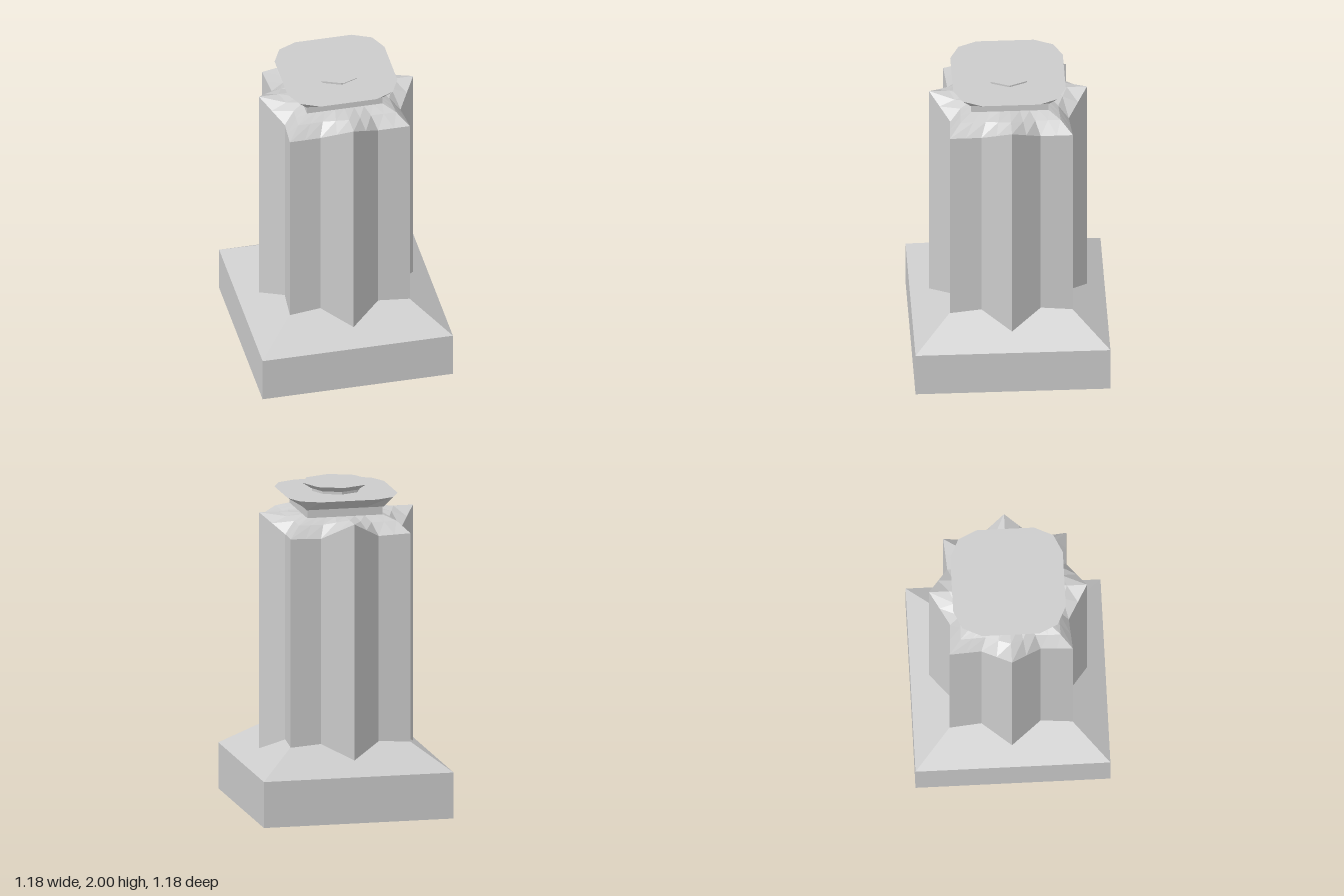
import * as THREE from 'three';

const material = new THREE.MeshStandardMaterial({ color: 0xcccccc, flatShading: true });

// Repeat a quarter of an outline [x, z, y?] around the vertical axis.
function ring(quarter, y) {
  const points = [];
  for (let k = 0; k < 4; k++) {
    for (const [px, pz, py] of quarter) {
      let x = px, z = pz;
      for (let r = 0; r < k; r++) [x, z] = [z, -x];
      points.push(new THREE.Vector3(x, py ?? y, z));
    }
  }
  return points;
}

// Skin a stack of equal-length rings from bottom to top, closing both ends.
function loft(name, rings) {
  const n = rings[0].length, pos = [];
  const tri = (...v) => v.forEach(p => pos.push(p.x, p.y, p.z));
  for (let r = 0; r < rings.length - 1; r++) {
    const lo = rings[r], hi = rings[r + 1];
    for (let i = 0; i < n; i++) {
      const j = (i + 1) % n;
      tri(lo[i], lo[j], hi[j]);
      tri(lo[i], hi[j], hi[i]);
    }
  }
  const centre = pts => pts.reduce((c, p) => c.add(p), new THREE.Vector3()).divideScalar(n);
  const bottom = rings[0], top = rings[rings.length - 1];
  const cb = centre(bottom), ct = centre(top);
  for (let i = 0; i < n; i++) {
    const j = (i + 1) % n;
    tri(cb, bottom[j], bottom[i]);
    tri(ct, top[i], top[j]);
  }
  const geometry = new THREE.BufferGeometry();
  geometry.setAttribute('position', new THREE.Float32BufferAttribute(pos, 3));
  geometry.computeVertexNormals();
  const mesh = new THREE.Mesh(geometry, material);
  mesh.name = name;
  return mesh;
}

// Add a midpoint on every edge of a ring.
const subdivide = pts => pts.flatMap((p, i) => [p, p.clone().lerp(pts[(i + 1) % pts.length], 0.5)]);

const square = s => [[s, s]];
const octagon = r => [[0, r], [r * Math.SQRT1_2, r * Math.SQRT1_2]];

export function createModel() {
  const model = new THREE.Group();

  // Square plinth with a sloping upper face
  model.add(loft('plinth', [
    ring(square(0.592), 0), ring(square(0.592), 0.285), ring(square(0.34), 0.467),
  ]));

  // Star-shaped shaft; its top edge dips between the four points
  const star = [[0, 0.48, 1.83], [0.18, 0.36, 1.725], [0.375, 0.373, 1.735], [0.36, 0.18, 1.725]];
  const foot = subdivide(ring(star.map(([x, z]) => [x, z]), 0.3));
  const eave = subdivide(ring(star));
  // Faceted roof rising from the star edge to the square neck
  const neckOutline = subdivide(ring([[0, 0.235], [0.12, 0.235], [0.235, 0.235], [0.235, 0.12]], 1.83));
  const middle = eave.map((p, i) => {
    const m = p.clone().lerp(neckOutline[i], 0.5);
    m.y = THREE.MathUtils.lerp(p.y, neckOutline[i].y, 0.7);
    return m;
  });
  model.add(loft('shaft', [foot, eave, middle, neckOutline]));

  // Square neck
  model.add(loft('neck', [ring(square(0.235), 1.8), ring(square(0.235), 1.88)]));

  // Flared capital, from square to twelve sides
  model.add(loft('capital', [
    ring([[0.12, 0.24], [0.24, 0.24], [0.24, 0.12]].map(([x, z]) => [x, z]), 1.88),
    ring([[0.175, 0.342], [0.287, 0.29], [0.342, 0.175]], 1.947),
  ]));

  // Small eight-sided neck and flared finial
  model.add(loft('finialNeck', [ring(octagon(0.15), 1.94), ring(octagon(0.15), 1.966)]));
  model.add(loft('finial', [ring(octagon(0.155), 1.964), ring(octagon(0.21), 2)]));

  return model;
}
